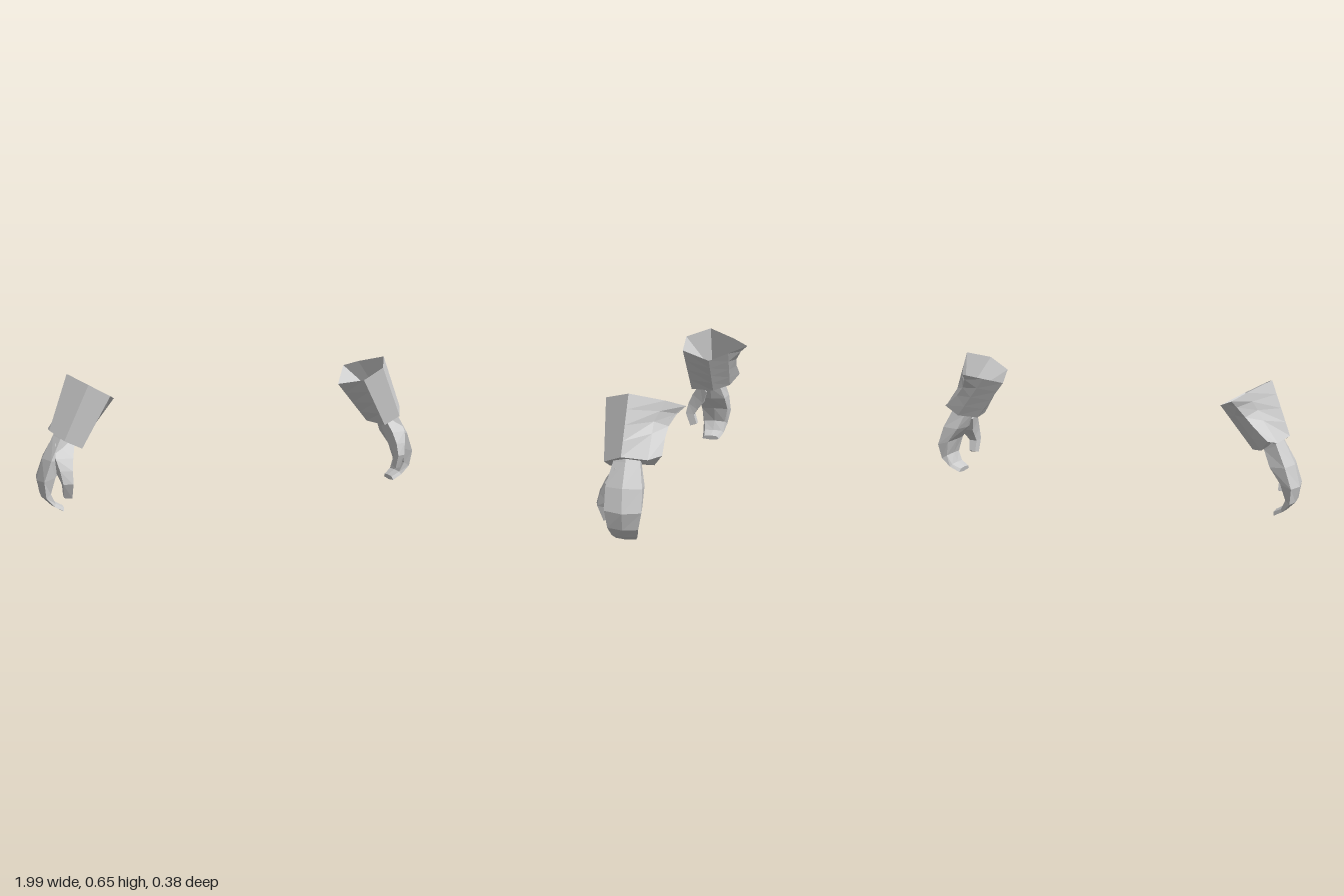
import * as THREE from 'three';

const V = (p) => new THREE.Vector3(...p);
const centre = (ring) => ring.reduce((c, p) => c.add(p), new THREE.Vector3()).divideScalar(ring.length);

// Skin a stack of rings (listed top to bottom) with flat triangles.
// side = -1 mirrors the part in x, inward = true makes the faces look inside.
function loft(rings, { side = 1, inward = false, capTop = false, capEnd = false }) {
  const pos = [];
  const flip = (side < 0) !== inward;
  const tri = (a, b, c) => {
    for (const p of flip ? [a, c, b] : [a, b, c]) pos.push(p.x * side, p.y, p.z);
  };
  const n = rings[0].length;
  for (let r = 0; r < rings.length - 1; r++) {
    const t = rings[r], b = rings[r + 1];
    for (let i = 0; i < n; i++) {
      const j = (i + 1) % n;
      tri(t[i], t[j], b[j]);
      tri(t[i], b[j], b[i]);
    }
  }
  const cap = (ring, up) => {
    const c = centre(ring);
    ring.forEach((p, i) => {
      const q = ring[(i + 1) % n];
      up ? tri(c, q, p) : tri(c, p, q);
    });
  };
  if (capTop) cap(rings[0], true);
  if (capEnd) cap(rings[rings.length - 1], false);
  const g = new THREE.BufferGeometry();
  g.setAttribute('position', new THREE.Float32BufferAttribute(pos, 3));
  g.computeVertexNormals();
  return g;
}

// Cuff: each column runs from the rim to the wrist; two-point columns are straight
function cuffRings() {
  const columns = [
    [[0.84, 0.653, 0.041], [0.933, 0.392, 0.052]],
    [[0.77, 0.614, 0.164], [0.885, 0.354, 0.143]],
    [[0.665, 0.555, 0.16], [0.80, 0.312, 0.141]],
    [[0.60, 0.517, 0], [0.765, 0.316, 0.01]],
    [[0.662, 0.55, -0.094], [0.835, 0.337, -0.071]],
    [[0.725, 0.584, -0.188], [0.738, 0.55, -0.15], [0.77, 0.5, -0.12], [0.81, 0.455, -0.113], [0.88, 0.395, -0.118]],
    [[0.77, 0.614, -0.105], [0.79, 0.57, -0.085], [0.81, 0.527, -0.064], [0.838, 0.48, -0.0625], [0.912, 0.38, -0.0625]],
  ];
  return [0, 1, 2, 3, 4].map((r) => columns.map((c) =>
    c.length === 2 ? V(c[0]).lerp(V(c[1]), r / 4) : V(c[r])));
}

// Hand: outer x,y / inner x,y / front z / back z
function handRings() {
  return [
    [0.895, 0.40, 0.80, 0.355, 0.095, -0.02],
    [0.912, 0.366, 0.815, 0.32, 0.10, -0.024],
    [0.968, 0.26, 0.848, 0.25, 0.121, -0.045],
    [0.996, 0.155, 0.91, 0.18, 0.118, -0.05],
    [0.976, 0.075, 0.938, 0.10, 0.107, -0.032],
    [0.93, 0.03, 0.919, 0.05, 0.10, -0.018],
    [0.883, 0.001, 0.878, 0.027, 0.095, 0.0],
  ].map(([ox, oy, ix, iy, zf, zb]) => {
    const at = (t, z) => new THREE.Vector3(ox + (ix - ox) * t, oy + (iy - oy) * t, z);
    const mid = (zf + zb) / 2;
    return [at(0, mid), at(0.2, zf), at(0.85, zf - 0.01), at(1, mid), at(0.85, zb + 0.01), at(0.2, zb)];
  });
}

// Thumb: inner x, outer x, front y,z, rear y,z
function thumbRings() {
  return [
    [0.825, 0.915, 0.335, 0.10, 0.29, 0.06],
    [0.845, 0.925, 0.27, 0.145, 0.22, 0.085],
    [0.855, 0.912, 0.215, 0.172, 0.18, 0.122],
    [0.858, 0.902, 0.155, 0.188, 0.15, 0.142],
    [0.858, 0.893, 0.084, 0.162, 0.095, 0.125],
  ].map(([x0, x1, yf, zf, yr, zr]) => [V([x1, yf, zf - 0.016]), V([x0, yf, zf]), V([x0, yr, zr]), V([x1, yr, zr])]);
}

export function createModel() {
  const model = new THREE.Group();
  const grey = new THREE.MeshStandardMaterial({ color: 0xcccccc, flatShading: true });
  grey.name = 'light grey';

  const cuff = cuffRings();
  // Hollow of the cuff narrows to a small floor above the wrist
  const floor = V([0.825, 0.45, 0.025]);
  const lining = [cuff[0], cuff[0].map((p) => {
    const q = p.clone().sub(centre(cuff[0])).multiplyScalar(0.22);
    return q.add(floor);
  })];

  for (const side of [1, -1]) {
    const arm = new THREE.Group();
    arm.name = side > 0 ? 'leftArm' : 'rightArm';
    const add = (name, rings, options) => {
      const mesh = new THREE.Mesh(loft(rings, { side, ...options }), grey);
      mesh.name = name;
      arm.add(mesh);
    };
    add('cuff', cuff, { capEnd: true });
    add('cuffLining', lining, { inward: true, capEnd: true });
    add('hand', handRings(), { capEnd: true });
    add('thumb', thumbRings(), { capTop: true, capEnd: true });
    model.add(arm);
  }
  return model;
}
